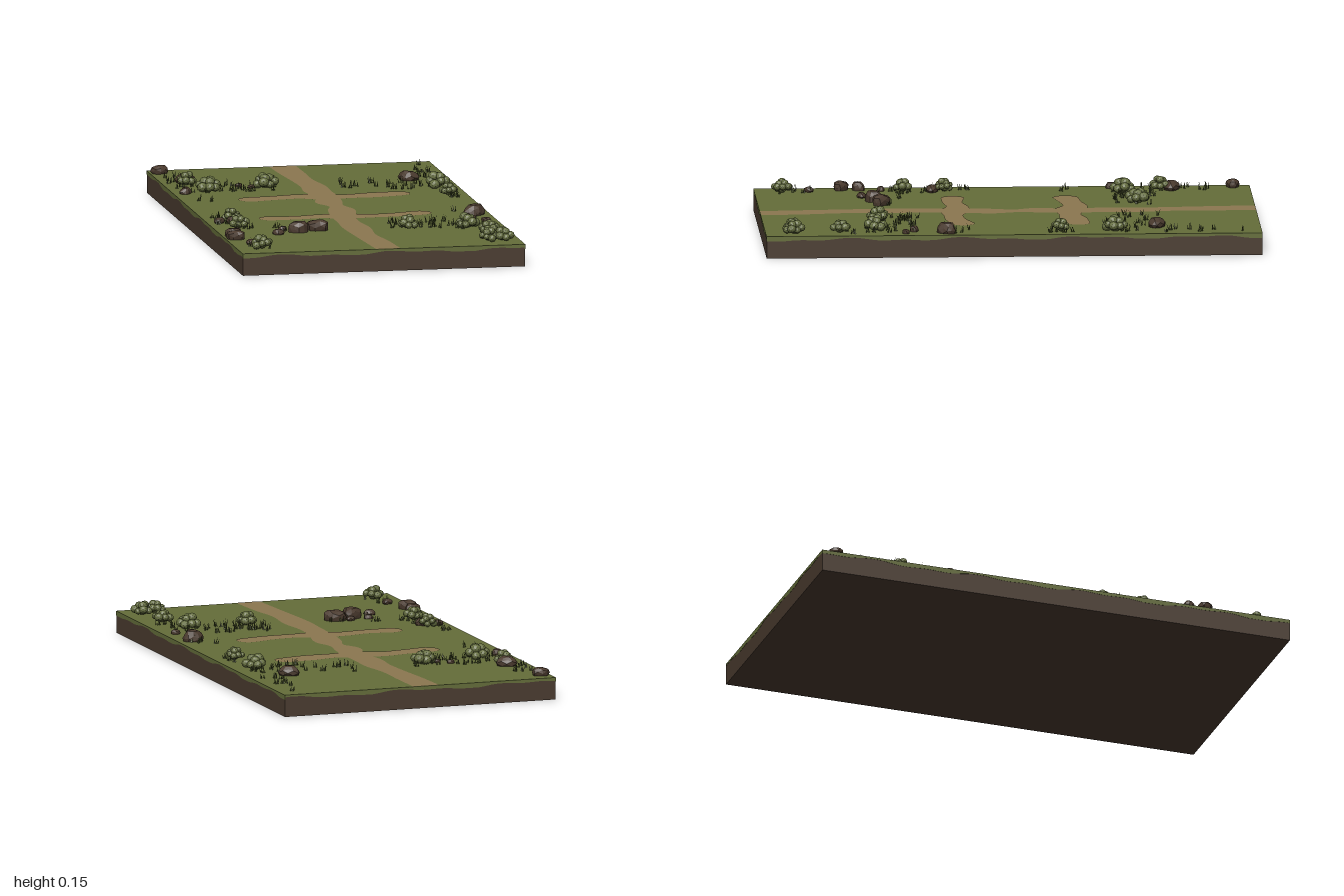
import * as THREE from 'three';
import { mergeGeometries } from 'three/addons/utils/BufferGeometryUtils.js';

const W = 0.58, L = 1, TOP = 0.09;

const material = (name, color, extra = {}) => {
  const m = new THREE.MeshStandardMaterial({ color, ...extra });
  m.name = name;
  return m;
};

// Small seeded random source
let seed = 7;
const rnd = () => {
  seed = (seed * 16807) % 2147483647;
  return seed / 2147483647;
};
const range = (a, b) => a + (b - a) * rnd();

// Lumpy stone: an icosahedron pushed in and out by a rule on position
function stone(r, phase) {
  const g = new THREE.IcosahedronGeometry(1, 1);
  const p = g.attributes.position, v = new THREE.Vector3();
  for (let i = 0; i < p.count; i++) {
    v.fromBufferAttribute(p, i);
    const k = 1 + 0.13 * Math.sin(v.x * 4 + phase) * Math.cos(v.z * 3 - phase) + 0.06 * Math.sin(v.y * 5 + phase);
    p.setXYZ(i, v.x * k * r * 1.1, Math.min(v.y * k, 0.85) * r * 0.82, v.z * k * r * 0.85);
  }
  g.rotateY(Math.sin(phase * 3) * 0.5);
  g.computeVertexNormals();
  return g;
}

// Dome of faceted leaf lobes
function bush(r) {
  const lobes = [];
  const add = (x, y, z, s) => {
    const g = new THREE.IcosahedronGeometry(s, 1);
    g.scale(1, 0.9, 1);
    g.rotateY(range(0, 3));
    g.translate(x, y, z);
    lobes.push(g);
  };
  const count = 7, turn = range(0, 6);
  for (let i = 0; i < count; i++) {
    const a = turn + (i / count) * Math.PI * 2;
    const d = r * range(0.55, 0.75);
    add(Math.cos(a) * d, range(0.014, 0.028), Math.sin(a) * d, r * range(0.34, 0.45));
  }
  for (let i = 0; i < 3; i++) {
    const a = turn + i * 2.1;
    add(Math.cos(a) * r * 0.3, range(0.034, 0.043), Math.sin(a) * r * 0.3, r * range(0.38, 0.46));
  }
  add(0, 0.018, 0, r * 0.5);
  return mergeGeometries(lobes);
}

// Few leaning blades
function tuft(x, z) {
  const blades = [];
  for (let i = 0; i < 4; i++) {
    const h = range(0.014, 0.032);
    const g = new THREE.ConeGeometry(0.0028, h, 3);
    g.translate(0, h / 2, 0);
    g.rotateZ(range(0.1, 0.45));
    g.rotateY(range(0, 6.28));
    g.translate(x + range(-0.008, 0.008), TOP, z + range(-0.008, 0.008));
    blades.push(g);
  }
  return mergeGeometries(blades);
}

// Flat trail along points [x, z, half width], with optional round ends
function trail(points, round) {
  const curve = new THREE.CatmullRomCurve3(points.map(([x, z, w]) => new THREE.Vector3(x, w, z)));
  const left = [], right = [], N = 70;
  const side = (c, t, a) => new THREE.Vector2(
    THREE.MathUtils.clamp(c.x + (t.x * Math.cos(a) - t.z * Math.sin(a)) * c.y, -W, W),
    -THREE.MathUtils.clamp(c.z + (t.x * Math.sin(a) + t.z * Math.cos(a)) * c.y, -L, L));
  const at = (u) => [curve.getPoint(u), curve.getTangent(u).setY(0).normalize()];
  for (let i = 0; i <= N; i++) {
    const [c, t] = at(i / N);
    left.push(side(c, t, Math.PI / 2));
    right.push(side(c, t, -Math.PI / 2));
  }
  const cap = (u, from) => {
    const [c, t] = at(u), out = [];
    for (let i = 1; i < 8; i++) out.push(side(c, t, from - (i / 8) * Math.PI));
    return round ? out : [];
  };
  const outline = [...left, ...cap(1, Math.PI / 2), ...right.reverse(), ...cap(0, -Math.PI / 2)];
  const g = new THREE.ShapeGeometry(new THREE.Shape(outline));
  g.rotateX(-Math.PI / 2);
  return g;
}

// Turf hanging over one edge of the slab, with an uneven lower border
function turfEdge(length, phase) {
  const s = new THREE.Shape();
  s.moveTo(-length / 2, TOP);
  const n = Math.round(length / 0.025);
  for (let i = 0; i <= n; i++) {
    const x = -length / 2 + (length * i) / n;
    const wave = Math.sin(x * 13 + phase) + 0.7 * Math.sin(x * 29 + phase * 2);
    s.lineTo(x, 0.075 + THREE.MathUtils.clamp(wave * 0.005, -0.005, 0.007));
  }
  s.lineTo(length / 2, TOP);
  return new THREE.ExtrudeGeometry(s, { depth: 0.003, bevelEnabled: false });
}

export function createModel() {
  const model = new THREE.Group();
  model.name = 'groundTile';
  const soil = material('soil', 0x4b3c30);
  const grass = material('grass', 0x656e3a);
  const dirt = material('pathDirt', 0x8c7750, { side: THREE.DoubleSide });
  const rock = material('rock', 0x4a3a2e, { flatShading: true });
  const leaf = material('bushLeaf', 0x666f40, { flatShading: true });
  const blade = material('grassBlade', 0x4a5429, { flatShading: true });
  const add = (name, g, m, x = 0, y = 0, z = 0) => {
    const mesh = new THREE.Mesh(g, m);
    mesh.name = name;
    mesh.position.set(x, y, z);
    model.add(mesh);
    return mesh;
  };

  // Slab and turf
  add('soilSlab', new THREE.BoxGeometry(W * 2 - 0.002, 0.088, L * 2 - 0.002), soil, 0, 0.044, 0);
  add('turfTop', new THREE.BoxGeometry(W * 2, 0.004, L * 2), grass, 0, TOP - 0.002, 0);
  [[W * 2, 0, 0, L], [W * 2, Math.PI, 0, -L], [L * 2, Math.PI / 2, W, 0], [L * 2, -Math.PI / 2, -W, 0]]
    .forEach(([len, turn, x, z], i) => {
      const g = turfEdge(len, i * 1.7 + 0.6);
      g.translate(0, 0, -0.003);
      add('turfEdge', g, grass, x, 0, z).rotation.y = turn;
    });

  // Dirt trails
  add('mainPath', trail([[-0.025, -1, 0.055], [-0.018, -0.82, 0.052], [-0.01, -0.65, 0.045], [0.005, -0.5, 0.052],
    [0.0, -0.38, 0.055], [0.015, -0.24, 0.045], [-0.005, -0.12, 0.055], [0.008, -0.03, 0.032], [0.01, 0.06, 0.055],
    [-0.01, 0.2, 0.05], [-0.018, 0.34, 0.045], [-0.012, 0.5, 0.055], [-0.012, 0.66, 0.045], [0.005, 0.82, 0.05],
    [0.018, 1, 0.05]], false), dirt, 0, TOP + 0.001, 0);
  add('backCrossPath', trail([[-0.3, -0.245, 0.052], [-0.2, -0.26, 0.045], [-0.1, -0.275, 0.05], [0, -0.25, 0.065],
    [0.1, -0.245, 0.045], [0.2, -0.255, 0.055], [0.31, -0.27, 0.048]], true), dirt, 0, TOP + 0.0014, 0);
  add('frontCrossPath', trail([[-0.31, 0.21, 0.048], [-0.2, 0.215, 0.04], [-0.1, 0.2, 0.045], [0, 0.215, 0.06],
    [0.1, 0.225, 0.04], [0.2, 0.22, 0.042], [0.305, 0.195, 0.048]], true), dirt, 0, TOP + 0.0014, 0);

  // Rocks: x, z, radius
  [[-0.54, -0.93, 0.033], [-0.485, -0.68, 0.038], [-0.53, -0.44, 0.024], [-0.515, -0.52, 0.014],
    [-0.29, -0.555, 0.014], [-0.245, -0.52, 0.014], [0.41, -0.58, 0.038], [0.515, 0.27, 0.042],
    [0.475, 0.4, 0.021], [0.53, 0.435, 0.017], [-0.53, 0.265, 0.022], [-0.475, 0.285, 0.028],
    [-0.505, 0.49, 0.018], [-0.535, 0.58, 0.032], [-0.54, 0.65, 0.035], [-0.5, 0.78, 0.021],
    [-0.35, 0.575, 0.021], [-0.315, 0.49, 0.017], [-0.255, 0.53, 0.042], [-0.175, 0.505, 0.042],
    [-0.235, 0.48, 0.018]].forEach(([x, z, r], i) => add('rock', stone(r, i * 1.3), rock, x, TOP + r * 0.3, z));

  // Bushes: x, z, radius
  [[-0.49, -0.635, 0.04], [-0.43, -0.48, 0.05], [-0.185, -0.53, 0.05], [0.495, -0.41, 0.05], [0.5, -0.19, 0.036],
    [-0.475, 0.235, 0.037], [-0.48, 0.405, 0.04], [-0.48, 0.89, 0.04], [0.19, 0.535, 0.043], [0.43, 0.555, 0.045],
    [0.49, 0.7, 0.042], [0.45, 0.89, 0.037], [0.51, 0.885, 0.042]]
    .forEach(([x, z, r]) => add('bush', bush(r), leaf, x, TOP, z));

  // Grass tufts scattered in patches: x range, z range, count
  const tufts = [];
  [[-0.55, -0.46, -0.84, -0.56, 11], [-0.52, -0.3, -0.6, -0.4, 13], [-0.4, -0.12, -0.6, -0.44, 16],
    [0.12, 0.26, -0.6, -0.43, 10], [0.3, 0.45, -0.53, -0.36, 11], [0.42, 0.54, -0.5, -0.36, 8],
    [0.46, 0.54, -0.96, -0.6, 11], [0.46, 0.54, -0.25, -0.13, 7], [-0.52, -0.45, -0.26, -0.18, 3],
    [-0.54, -0.44, 0.13, 0.33, 9], [-0.54, -0.42, 0.37, 0.46, 7], [-0.36, -0.15, 0.38, 0.52, 7],
    [0.13, 0.33, 0.37, 0.54, 24], [0.3, 0.54, 0.38, 0.6, 18], [0.44, 0.54, 0.17, 0.25, 4],
    [0.44, 0.54, 0.64, 0.74, 4], [-0.52, -0.45, 0.76, 0.93, 5]]
    .forEach(([x0, x1, z0, z1, n]) => {
      for (let i = 0; i < n; i++) tufts.push(tuft(range(x0, x1), range(z0, z1)));
    });
  add('grassTufts', mergeGeometries(tufts), blade);

  return model;
}
